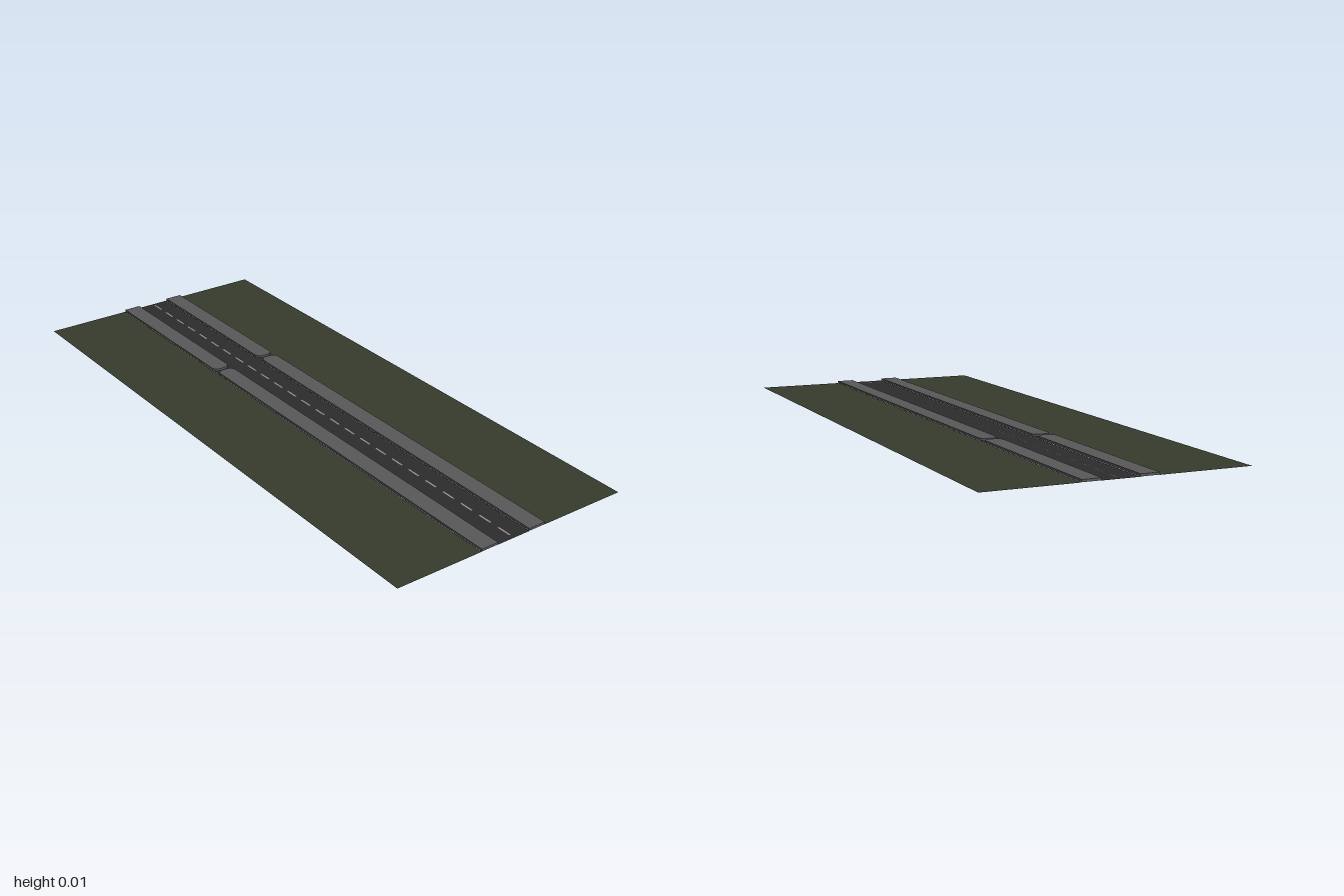
import * as THREE from 'three';

const HALF = 1;          // half length of the road
const ROAD = 0.06;       // half width of the carriageway
const PAVE = 0.12;       // outer edge of the pavement
const EDGE = 0.42;       // outer edge of the grass
const HEIGHT = 0.008;    // kerb height
const GAP = [-0.369, -0.356]; // narrow side passage through the pavements

export function createModel() {
  const model = new THREE.Group();
  const mat = (name, color, side = THREE.FrontSide) => {
    const m = new THREE.MeshStandardMaterial({ color, side });
    m.name = name;
    return m;
  };
  const grass = mat('grass', 0x363b2d, THREE.DoubleSide);
  const asphalt = mat('asphalt', 0x2c2c2d, THREE.DoubleSide);
  const concrete = mat('concrete', 0x585858);
  const soil = mat('soil', 0x5c5740);
  const paint = mat('paint', 0x8c8c8c);

  const add = (name, geometry, material) => {
    const mesh = new THREE.Mesh(geometry, material);
    mesh.name = name;
    model.add(mesh);
    return mesh;
  };
  // Flat sheet between two corners, facing up or down
  const sheet = (name, x0, x1, z0, z1, y, material, down = false) => {
    const g = new THREE.PlaneGeometry(x1 - x0, z1 - z0);
    g.rotateX(down ? Math.PI / 2 : -Math.PI / 2);
    g.translate((x0 + x1) / 2, y, (z0 + z1) / 2);
    return add(name, g, material);
  };
  // Raised slab; r0 and r1 round the corners at the z0 and z1 ends
  const slab = (name, x0, x1, z0, z1, r0, r1) => {
    const s = new THREE.Shape();
    const a = -z1, b = -z0; // shape y becomes -z
    s.moveTo(x0 + r1, a);
    s.lineTo(x1 - r1, a);
    if (r1) s.absarc(x1 - r1, a + r1, r1, -Math.PI / 2, 0);
    s.lineTo(x1, b - r0);
    if (r0) s.absarc(x1 - r0, b - r0, r0, 0, Math.PI / 2);
    s.lineTo(x0 + r0, b);
    if (r0) s.absarc(x0 + r0, b - r0, r0, Math.PI / 2, Math.PI);
    s.lineTo(x0, a + r1);
    if (r1) s.absarc(x0 + r1, a + r1, r1, Math.PI, Math.PI * 1.5);
    const g = new THREE.ExtrudeGeometry(s, { depth: HEIGHT - 0.0006, bevelEnabled: false, curveSegments: 6 });
    g.rotateX(-Math.PI / 2);
    g.translate(0, 0.0006, 0);
    return add(name, g, concrete);
  };

  // Carriageway
  sheet('road', -ROAD, ROAD, -HALF, HALF, 0, asphalt);

  // Grass, pavements and passages on both sides
  for (const [side, s] of [['left', 1], ['right', -1]]) {
    const span = (a, b) => (s > 0 ? [a, b] : [-b, -a]);
    const [p0, p1] = span(ROAD, PAVE);
    sheet(side + 'Grass', ...span(PAVE, EDGE), -HALF, HALF, 0, grass);
    sheet(side + 'PavementBase', p0, p1, -HALF, HALF, 0, soil, true);
    sheet(side + 'Passage', p0, p1, GAP[0] - 0.03, GAP[1] + 0.03, 0.0004, asphalt);
    slab(side + 'BackPavement', p0, p1, -HALF, GAP[0], 0, 0.022);
    slab(side + 'FrontPavement', p0, p1, GAP[1], HALF, 0.022, 0);
  }

  // Dashed centre line
  const step = 0.08;
  for (let i = 0; i < 25; i++) {
    const z = -HALF + step * (i + 0.5);
    sheet('centreDash', -0.003, 0.003, z - 0.024, z + 0.024, 0.001, paint);
  }
  return model;
}
